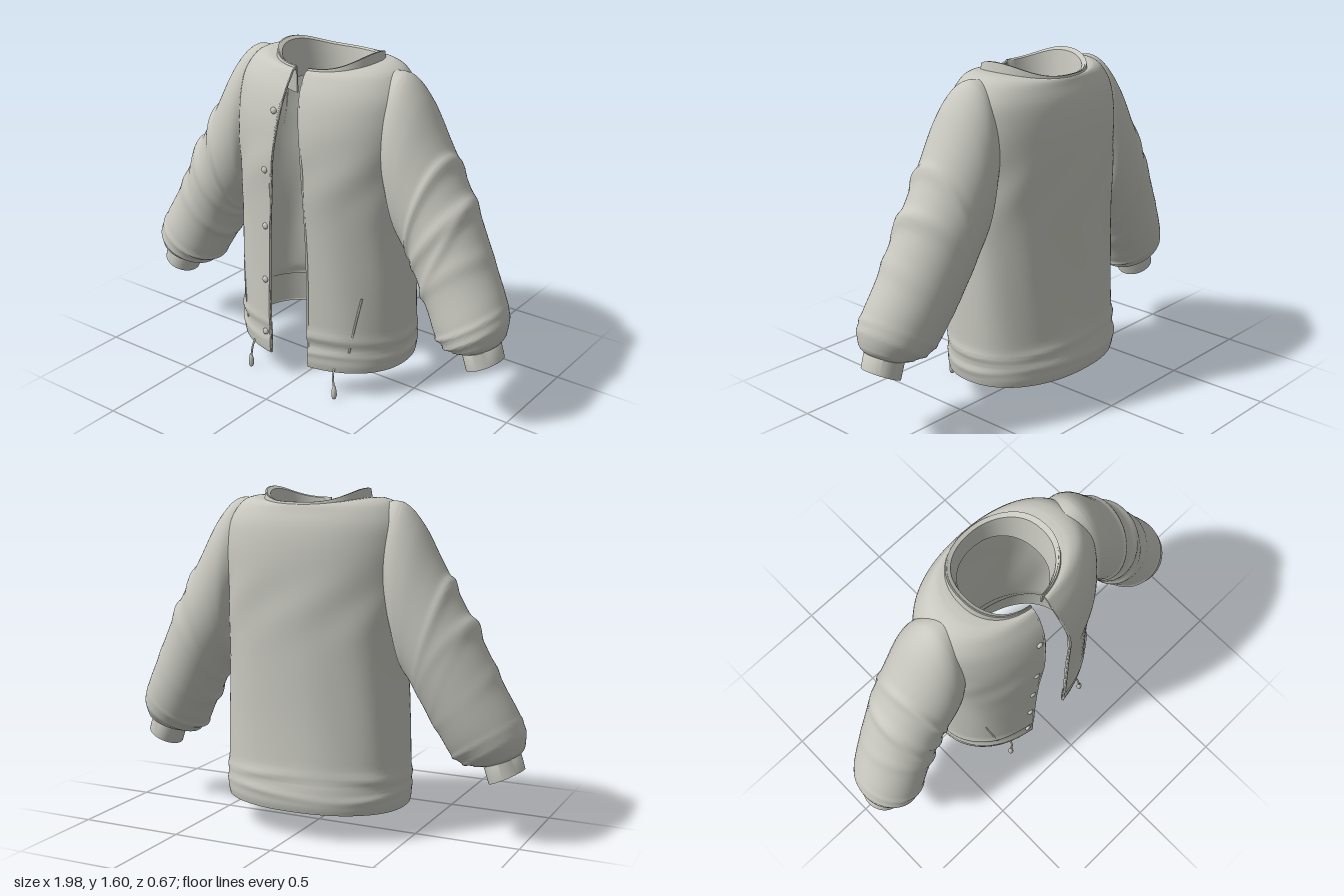
import * as THREE from 'three';
import { toCreasedNormals } from 'three/addons/utils/BufferGeometryUtils.js';

const cloth = new THREE.MeshStandardMaterial({ color: 0xc8c8c0, side: THREE.DoubleSide });
cloth.name = 'pale grey cloth';

// Smooth blend through rows of numbers, u runs from 0 to rows.length - 1
function spline(rows, u) {
  const last = rows.length - 1, i = Math.min(Math.floor(u), last - 1), t = u - i;
  const [a, b, c, d] = [i - 1, i, i + 1, i + 2].map(k => rows[Math.max(0, Math.min(last, k))]);
  return b.map((_, k) => b[k] + 0.5 * t * (c[k] - a[k] + t * (2 * a[k] - 5 * b[k] + 4 * c[k] - d[k]
    + t * (3 * (b[k] - c[k]) + d[k] - a[k]))));
}

// Skin over closed rings of [x, y, z] points
function loft(rings, flip = false, crease = 0.8) {
  const n = rings[0].length, index = [];
  for (let i = 0; i < rings.length - 1; i++) for (let j = 0; j < n; j++) {
    const a = i * n + j, b = i * n + (j + 1) % n, c = b + n, d = a + n;
    index.push(...(flip ? [a, c, b, a, d, c] : [a, b, c, a, c, d]));
  }
  const g = new THREE.BufferGeometry();
  g.setAttribute('position', new THREE.Float32BufferAttribute(rings.flat(2), 3));
  g.setIndex(index);
  return toCreasedNormals(g, crease);
}

function add(parent, name, geometry, x = 0, y = 0, z = 0) {
  const m = new THREE.Mesh(geometry, cloth);
  m.name = name;
  m.position.set(x, y, z);
  parent.add(m);
  return m;
}

// Front opening edges at a height
const edgeLeft = y => spline([[0.11], [0.108], [0.1], [0.08], [0.03]], THREE.MathUtils.clamp((y - 0.13) / 0.3425, 0, 4))[0];
const edgeRight = y => spline([[0.115], [0.11], [0.1], [0.075], [0.04]], THREE.MathUtils.clamp((y - 0.13) / 0.3425, 0, 4))[0];
const ridge = (v, c, w) => Math.exp(-(((v - c) / w) ** 2));

// One level: [height, half width, front depth, back depth, side lift], as an open band with thickness
function band([y, a, zf, zb, lift], thick, wrinkle, liftPower = 2, N = 96) {
  const p = 2 / 2.2, s0 = Math.asin((edgeLeft(y) / a) ** 1.1), s1 = Math.asin((edgeRight(y) / a) ** 1.1);
  const at = (k, inset) => {
    const th = s0 + (2 * Math.PI - s0 - s1) * k / N, s = Math.sin(th), c = Math.cos(th);
    const w = wrinkle ? wrinkle(y, th) - inset : -inset;
    return [Math.sign(s) * Math.abs(s) ** p * (a + w),
      y + lift * Math.abs(s) ** liftPower,
      Math.sign(c) * Math.abs(c) ** p * ((c > 0 ? zf : zb) + w)];
  };
  const ring = [];
  for (let k = 0; k <= N; k++) ring.push(at(k, 0));
  for (let k = N; k >= 0; k--) ring.push(at(k, thick));
  return ring;
}

const bodyRows = [
  [0.13, 0.447, 0.328, 0.322, 0], [0.17, 0.453, 0.333, 0.33, 0], [0.24, 0.452, 0.328, 0.325, 0],
  [0.32, 0.45, 0.333, 0.312, 0], [0.55, 0.445, 0.33, 0.3, 0], [0.8, 0.44, 0.33, 0.298, 0],
  [1.08, 0.45, 0.335, 0.3, 0], [1.25, 0.455, 0.322, 0.298, 0], [1.36, 0.45, 0.3, 0.29, 0],
  [1.44, 0.43, 0.272, 0.275, 0.01], [1.5, 0.375, 0.238, 0.252, 0.028],
  [1.525, 0.31, 0.22, 0.242, 0.03], [1.53, 0.245, 0.205, 0.236, 0.022]];

// Soft folds over the hem and torso
function bodyFolds(y, th) {
  const hem = ridge(y, 0.285 + 0.015 * Math.sin(2 * th + 1), 0.022) + 0.8 * ridge(y, 0.205 + 0.012 * Math.sin(3 * th), 0.018);
  const drape = Math.sin(9 * th + 5 * y) * ridge(y, 0.65, 0.35);
  const chest = Math.sin(7 * th - 14 * y) * ridge(y, 1.08, 0.13);
  return 0.009 * hem * (0.7 + 0.3 * Math.sin(5 * th)) + 0.003 * drape + 0.004 * chest;
}

function surfaceZ(x, y) {
  let u = 0;
  while (u < 12 && spline(bodyRows, u)[0] < y) u += 0.02;
  const [, a, zf] = spline(bodyRows, u);
  return zf * (1 - (Math.abs(x) / a) ** 2.2) ** (1 / 2.2);
}

function buildBody(g) {
  const rings = [];
  for (let i = 0; i <= 96; i++) rings.push(band(spline(bodyRows, i / 8), 0.012, bodyFolds));
  // Closed hem edge
  const [y, ...rest] = bodyRows[0];
  rings.unshift(band([y - 0.002, rest[0] - 0.006, rest[1] - 0.006, rest[2] - 0.006, 0], 0.0005, bodyFolds));
  add(g, 'body', loft(rings));

  // Collar stands at the shoulders and turns down inside the neck
  const collarRows = [
    [1.52, 0.25, 0.208, 0.24, 0.025], [1.54, 0.243, 0.202, 0.235, 0.057],
    [1.535, 0.226, 0.198, 0.224, 0.05], [1.49, 0.212, 0.192, 0.217, 0.01], [1.41, 0.2, 0.185, 0.21, 0]];
  add(g, 'collar', loft(collarRows.map(r => band(r, 0.007, null, 3)), false, 0.6));

  // Inner hem facing
  add(g, 'hemFacing', loft([[0.14, 0.436, 0.317, 0.312, 0], [0.29, 0.436, 0.317, 0.298, 0]].map(r => band(r, 0.004))));
}

// Sleeve sections: [top x, top y, bottom x, bottom y, middle z, half depth]
const sleeveRows = [
  [0.33, 1.54, 0.425, 0.87, 0, 0.155], [0.42, 1.538, 0.437, 0.79, 0, 0.185], [0.505, 1.45, 0.45, 0.76, 0, 0.194],
  [0.595, 1.29, 0.47, 0.735, 0, 0.194], [0.685, 1.13, 0.51, 0.675, 0, 0.192], [0.785, 0.95, 0.56, 0.58, 0.01, 0.188],
  [0.885, 0.75, 0.62, 0.475, 0.027, 0.183], [0.955, 0.62, 0.665, 0.395, 0.045, 0.178],
  [0.99, 0.53, 0.715, 0.36, 0.058, 0.165], [0.988, 0.45, 0.775, 0.352, 0.068, 0.125], [0.967, 0.415, 0.805, 0.353, 0.07, 0.092]];
const cuffRows = [
  [0.965, 0.425, 0.8, 0.365, 0.07, 0.088], [0.972, 0.418, 0.805, 0.353, 0.07, 0.095],
  [0.992, 0.352, 0.832, 0.272, 0.07, 0.094], [0.986, 0.349, 0.837, 0.274, 0.07, 0.089],
  [0.978, 0.354, 0.843, 0.284, 0.07, 0.082], [0.955, 0.42, 0.815, 0.36, 0.07, 0.08]];

// Ridges across the sleeve: [position, width, size, slant]
const sleeveFolds = [[3.75, 0.16, 0.02, 0.15], [4.45, 0.18, 0.02, -0.25], [5.05, 0.14, 0.012, 0.3],
  [5.6, 0.16, 0.01, -0.2], [7.3, 0.16, 0.012, 0.1], [8.1, 0.2, 0.014, -0.1], [8.9, 0.15, 0.01, 0.1]];

function sleeveRing([tx, ty, bx, by, cz, hz], u, side, N = 56) {
  const ring = [], mx = (tx + bx) / 2, my = (ty + by) / 2, h = Math.hypot(tx - mx, ty - my);
  for (let k = 0; k < N; k++) {
    const f = 2 * Math.PI * k / N, c = Math.cos(f), s = Math.sin(f);
    let d = 0;
    if (u !== null) for (const [p, w, size, slant] of sleeveFolds)
      d += size * ridge(u, p + slant * Math.sin(f + p), w) * (0.55 + 0.45 * Math.cos(f - 0.5 * p + 1.2));
    const e = 1 + (d - (u === null ? 0 : 0.002)) / h;
    ring.push([side * Math.min(1, mx + (tx - mx) * c * e), my + (ty - my) * c * e, cz + s * (hz + d * 0.6)]);
  }
  return ring;
}

function buildSleeve(g, side) {
  const sleeve = new THREE.Group(), rings = [];
  sleeve.name = side > 0 ? 'leftSleeve' : 'rightSleeve';
  for (let i = 0; i <= 100; i++) rings.push(sleeveRing(spline(sleeveRows, i / 10), i / 10, side));
  add(sleeve, 'sleeve', loft(rings, side < 0));
  add(sleeve, 'cuff', loft(cuffRows.map(r => sleeveRing(r, null, side)), side < 0, 0.6));
  g.add(sleeve);
}

function tube(points, radius) {
  const curve = new THREE.CatmullRomCurve3(points.map(p => new THREE.Vector3(...p)));
  return new THREE.TubeGeometry(curve, 24, radius, 6);
}

export function createModel() {
  const g = new THREE.Group();
  g.name = 'jacket';
  buildBody(g);

  for (const side of [1, -1]) {
    buildSleeve(g, side);

    // Piped front edge
    const edge = [];
    for (let y = 0.135; y < 1.5; y += 0.09) {
      const x = side > 0 ? edgeLeft(y) : edgeRight(y);
      edge.push([side * (x + 0.003), y, surfaceZ(x, y) - 0.004]);
    }
    add(g, 'frontEdge', tube(edge, 0.006));

    // Slanted pocket welt
    const welt = [0, 0.5, 1].map(t => {
      const x = 0.303 + 0.045 * t, y = 0.24 + 0.28 * t;
      return [side * x, y, surfaceZ(x, y) + 0.001];
    });
    add(g, 'pocketWelt', tube(welt, 0.005));

    // Drawcord with toggle
    add(g, 'drawcord', tube([[side * 0.24, 0.155, 0.285], [side * 0.243, 0.12, 0.302], [side * 0.252, 0.06, 0.306]], 0.005));
    const toggle = new THREE.LatheGeometry([[0, 0], [0.009, 0.003], [0.013, 0.02], [0.012, 0.045], [0.006, 0.068], [0, 0.07]]
      .map(p => new THREE.Vector2(...p)), 14);
    add(g, 'toggle', toggle, side * 0.253, 0, 0.306);
  }

  // Snap buttons down the right placket
  for (const [x, y] of [[-0.085, 1.35], [-0.122, 1.07], [-0.13, 0.79], [-0.138, 0.515], [-0.146, 0.235]]) {
    const button = add(g, 'button', new THREE.SphereGeometry(0.016, 16, 10), x, y, surfaceZ(x, y) + 0.003);
    button.scale.z = 0.6;
  }
  return g;
}
